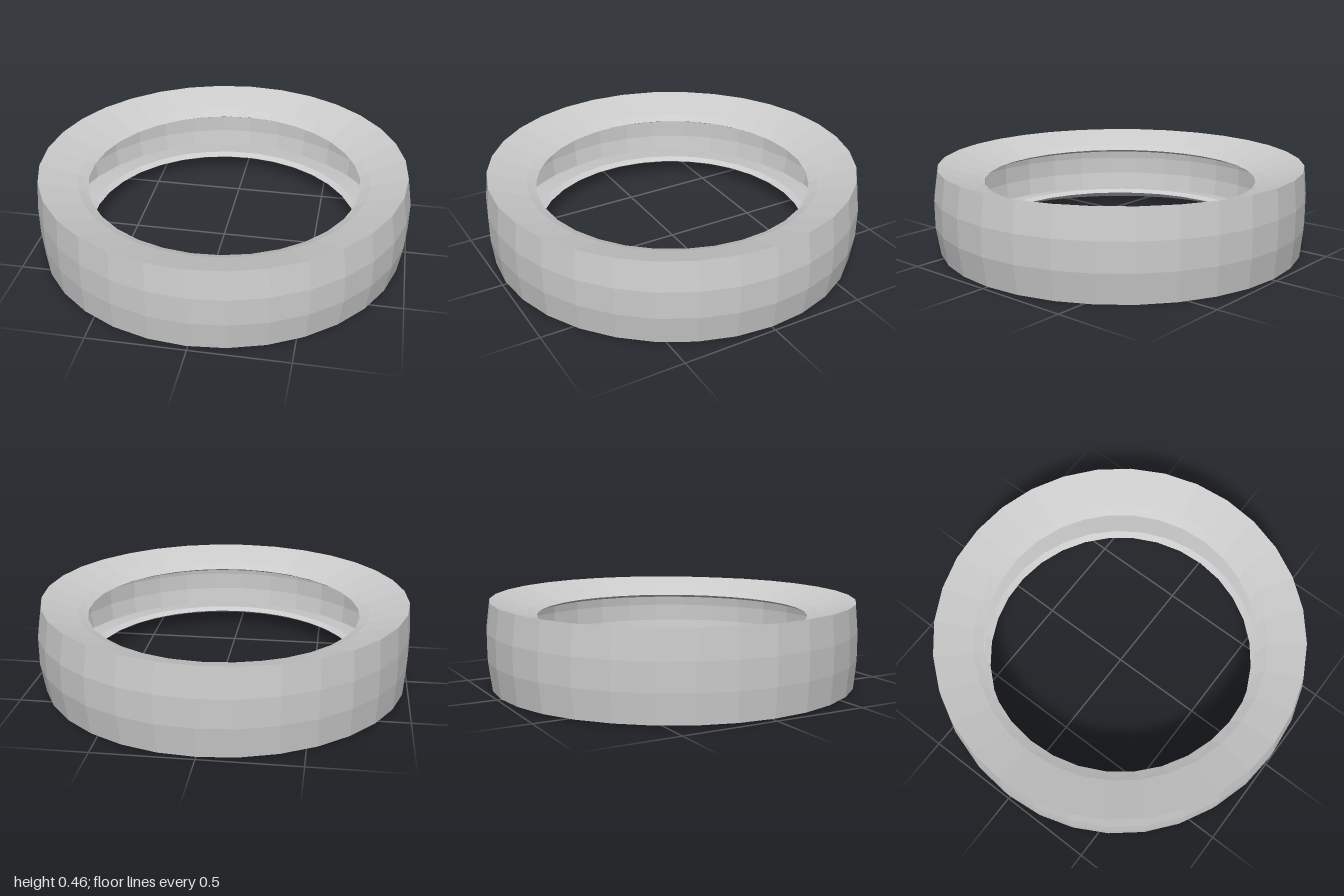
import * as THREE from 'three';

const SEGMENTS = 32;
const MID = 0.232; // height of the ring's mid plane

// Upper half of the hollow section: [radius, height above mid plane, twist in segments]
const upperHalf = [
  [0.998, 0.072, 0],  // tread
  [0.98, 0.222, 0],   // shoulder
  [0.78, 0.158, 0],   // end of sidewall
  [0.73, 0.136, 0.8], // twisted bead edge
  [0.765, 0.12, 0.5], // back of the bead
  [0.9, 0.142, 0],    // inner shoulder
  [0.915, 0.048, 0],  // inner tread wall
];

function createTire() {
  // Mirror the half section to close the loop, from the lower tread up, over and back
  const lowerHalf = upperHalf.map(([r, y, t]) => [r, -y, t]).reverse();
  const section = [...upperHalf, ...lowerHalf, upperHalf[0]];
  const geometry = new THREE.LatheGeometry(
    section.map(([r, y]) => new THREE.Vector2(r, y)), SEGMENTS);

  // Skew the bead rows and make the ring slightly thicker towards one corner
  const pos = geometry.attributes.position;
  for (let i = 0; i < pos.count; i++) {
    const [r, y, twist] = section[i % section.length];
    const column = Math.floor(i / section.length);
    const angle = ((column + twist) / SEGMENTS) * Math.PI * 2;
    const x = r * Math.sin(angle);
    const z = r * Math.cos(angle);
    const swell = 1 + 0.04 * Math.max(0, (x - z) / Math.SQRT2);
    const shift = Math.abs(y) > 0.2 ? -0.007 : 0; // shoulders sit a little off centre
    pos.setXYZ(i, x + shift, MID + y * swell, z);
  }

  const flat = geometry.toNonIndexed();
  flat.computeVertexNormals();
  const mesh = new THREE.Mesh(flat, new THREE.MeshStandardMaterial({
    color: 0xcccccc, flatShading: true, side: THREE.DoubleSide,
  }));
  mesh.name = 'tire';
  return mesh;
}

export function createModel() {
  const group = new THREE.Group();
  group.name = 'tireModel';
  group.add(createTire());
  return group;
}
